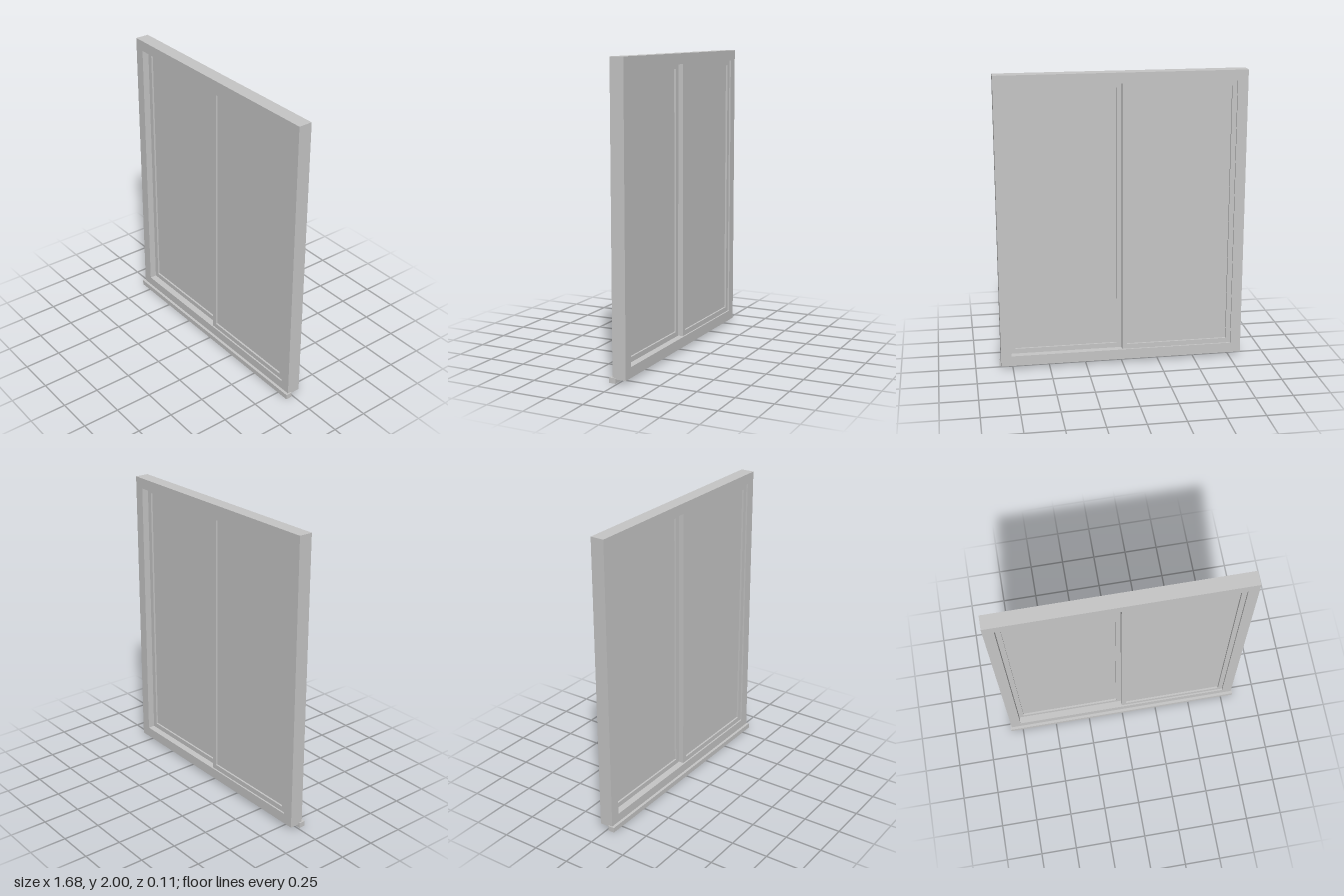
import * as THREE from 'three';

const grey = new THREE.MeshStandardMaterial({ color: 0xc6c6c6 });
grey.name = 'light grey';

// Rectangular ring with a rectangular hole, extruded from z0 to z1
function ring(name, [x0, x1, y0, y1], border, z0, z1) {
  const rect = (C, b) => new C([
    new THREE.Vector2(x0 + b, y0 + b), new THREE.Vector2(x1 - b, y0 + b),
    new THREE.Vector2(x1 - b, y1 - b), new THREE.Vector2(x0 + b, y1 - b),
  ]);
  const shape = rect(THREE.Shape, 0);
  shape.holes.push(rect(THREE.Path, border));
  const geo = new THREE.ExtrudeGeometry(shape, { depth: z1 - z0, bevelEnabled: false });
  geo.translate(0, 0, z0);
  const mesh = new THREE.Mesh(geo, grey);
  mesh.name = name;
  return mesh;
}

function box(name, [x0, x1, y0, y1], z0, z1) {
  const mesh = new THREE.Mesh(new THREE.BoxGeometry(x1 - x0, y1 - y0, z1 - z0), grey);
  mesh.position.set((x0 + x1) / 2, (y0 + y1) / 2, (z0 + z1) / 2);
  mesh.name = name;
  return mesh;
}

// Sliding sash: slim frame around a recessed pane
function sash(name, x0, x1, z0, z1) {
  const y0 = 0.095, y1 = 1.931, border = 0.034, mid = (z0 + z1) / 2;
  const group = new THREE.Group();
  group.name = name;
  group.add(
    ring('sashFrame', [x0, x1, y0, y1], border, z0, z1),
    box('pane', [x0 + border, x1 - border, y0 + border, y1 - border], mid - 0.005, mid + 0.005),
  );
  return group;
}

export function createModel() {
  const model = new THREE.Group();
  model.name = 'slidingWindow';
  model.add(
    // Outer frame and projecting front sill
    ring('outerFrame', [-0.83, 0.83, 0.025, 2], 0.07, -0.056, 0.037),
    box('sill', [-0.838, 0.838, 0, 0.035], 0.011, 0.056),
    // The two sashes run on neighbouring tracks
    sash('rightRearSash', -0.761, 0, -0.045, -0.0095),
    sash('leftFrontSash', 0, 0.761, -0.0095, 0.026),
  );
  return model;
}
